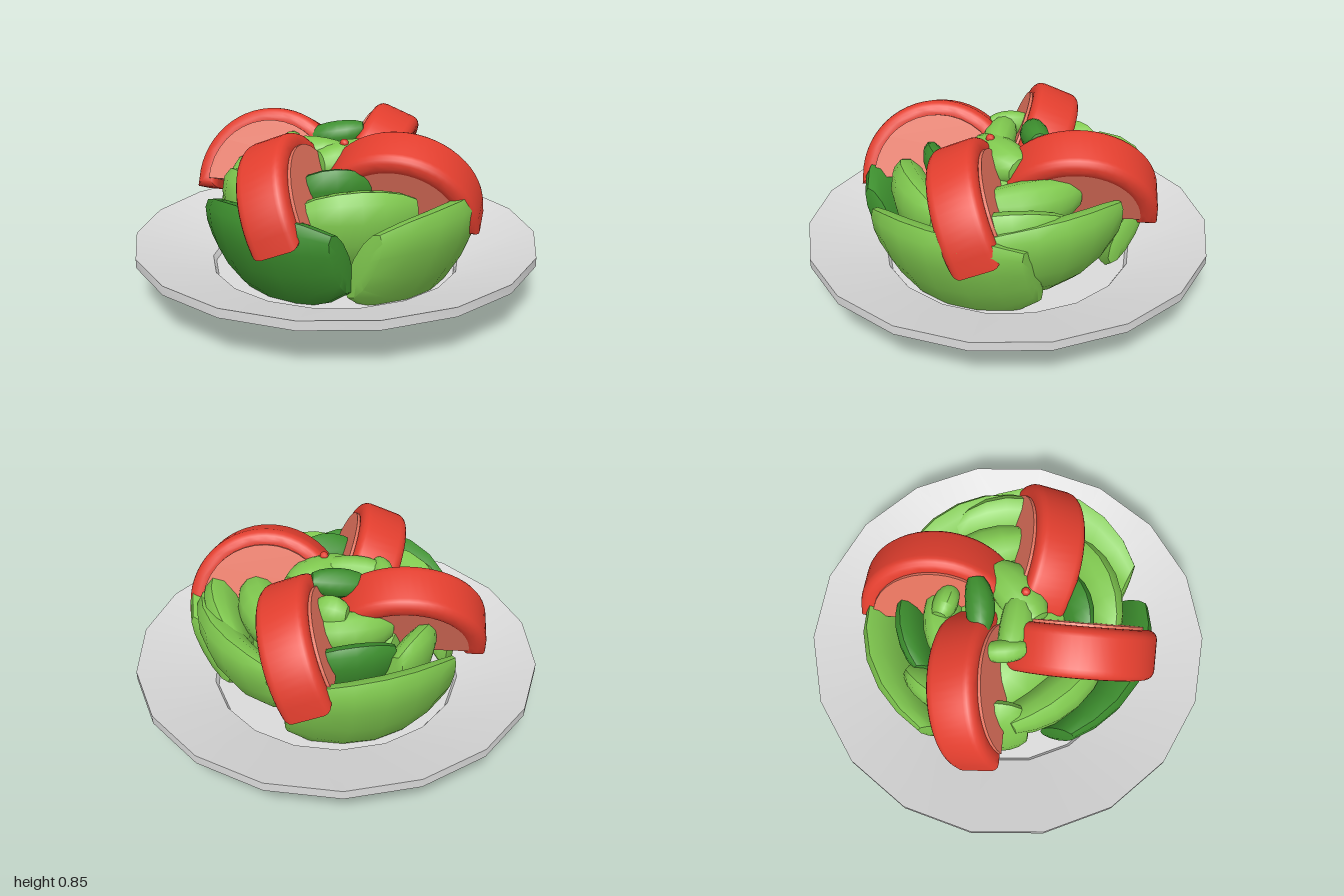
import * as THREE from 'three';
import { toCreasedNormals } from 'three/addons/utils/BufferGeometryUtils.js';

const material = (name, color) => {
  const m = new THREE.MeshStandardMaterial({ color });
  m.name = name;
  return m;
};

export function createModel() {
  const model = new THREE.Group();
  model.name = 'saladPlate';
  const plateGrey = material('plate grey', 0xdadada);
  const lightGreen = material('light lettuce green', 0x80c94f);
  const darkGreen = material('dark lettuce green', 0x3d8f2e);
  const red = material('tomato skin red', 0xe23e2e);
  const pink = material('tomato flesh pink', 0xe4725d);

  const add = (parent, name, geometry, mat) => {
    const mesh = new THREE.Mesh(geometry, mat);
    mesh.name = name;
    parent.add(mesh);
    return mesh;
  };

  // Shallow plate with a sunken floor
  const profile = [[0, 0.05], [0.54, 0.05], [0.72, 0.095], [1, 0.23], [1, 0.275],
    [0.62, 0.15], [0.605, 0.125], [0, 0.125]].map(([r, y]) => new THREE.Vector2(r, y));
  add(model, 'plate', toCreasedNormals(new THREE.LatheGeometry(profile, 18, Math.PI / 18), 0.5), plateGrey);

  // Thick leaf: blunt-ended ellipsoid, bowed so its outer face is convex
  const deg = Math.PI / 180;
  const blunt = 0.83;
  function leaf(name, mat, center, [hl, hh, ht], yaw, lean, roll = 0, bow = 0.6) {
    const g = new THREE.SphereGeometry(1, 12, 10).rotateZ(Math.PI / 2);
    const p = g.attributes.position;
    for (let i = 0; i < p.count; i++) {
      const x = THREE.MathUtils.clamp(p.getX(i), -blunt, blunt) * hl / blunt;
      p.setXYZ(i, x, p.getY(i) * hh, p.getZ(i) * ht - bow * x * x);
    }
    const mesh = add(model, name, toCreasedNormals(g, 0.75), mat);
    mesh.position.set(...center);
    mesh.rotation.set(lean * deg, yaw * deg, roll * deg, 'YXZ');
  }

  // Outer leaves, leaning outward like a bowl
  leaf('outerLeafFront', darkGreen, [0.04, 0.33, 0.55], [0.39, 0.29, 0.1], 0, 24);
  leaf('outerLeafLeft', lightGreen, [0.57, 0.305, 0], [0.41, 0.33, 0.1], 90, 27);
  leaf('outerLeafBackRight', lightGreen, [-0.41, 0.31, -0.38], [0.4, 0.31, 0.09], -133, 24);
  leaf('outerLeafBackLeft', lightGreen, [0.33, 0.39, -0.42], [0.38, 0.25, 0.1], 147, 24);

  // Middle leaves
  leaf('middleLeafFrontRight', lightGreen, [-0.17, 0.44, 0.39], [0.31, 0.22, 0.11], -18, 15);
  leaf('middleLeafFrontLeft', lightGreen, [0.36, 0.45, 0.28], [0.28, 0.22, 0.11], 50, 18);
  leaf('middleLeafRight', lightGreen, [-0.46, 0.44, 0.22], [0.14, 0.22, 0.07], -65, -14);
  leaf('middleLeafLeft', lightGreen, [0.46, 0.45, -0.27], [0.27, 0.22, 0.1], 125, 18);
  leaf('middleLeafBackRight', darkGreen, [-0.28, 0.5, -0.36], [0.2, 0.17, 0.07], -140, 20);
  leaf('middleLeafSide', lightGreen, [-0.47, 0.46, -0.13], [0.16, 0.2, 0.08], -95, 15);
  leaf('innerLeafFront', darkGreen, [0.2, 0.57, 0.25], [0.17, 0.16, 0.07], 48, 20);
  leaf('innerLeafBack', lightGreen, [0.24, 0.55, -0.26], [0.24, 0.14, 0.12], 140, 30);
  leaf('innerLeafBackRight', lightGreen, [-0.2, 0.58, -0.23], [0.2, 0.13, 0.1], -140, 25);

  // Heart of the salad and small top leaves
  leaf('saladHeart', lightGreen, [0, 0.42, 0], [0.38, 0.26, 0.38], 0, 0, 0, 0);
  leaf('topLeafDark', darkGreen, [-0.07, 0.75, -0.11], [0.13, 0.07, 0.07], 40, 30, 10);
  leaf('topLeafLarge', lightGreen, [0.1, 0.67, 0], [0.17, 0.1, 0.12], 65, 15);
  leaf('topLeafFront', lightGreen, [-0.06, 0.7, 0.08], [0.15, 0.08, 0.08], 20, 25);
  leaf('topLeafRight', lightGreen, [-0.2, 0.72, 0.1], [0.1, 0.06, 0.055], -55, 20);
  leaf('topLeafBack', lightGreen, [-0.12, 0.69, -0.27], [0.08, 0.09, 0.06], 10, 15);

  // Small tip of tomato poking through the top
  add(model, 'tomatoTip', new THREE.SphereGeometry(0.022, 8, 6), red).position.set(0.09, 0.765, 0.045);

  // Tomato wedge: rounded half-ring skin around a half disc of flesh
  const bevel = 0.045;
  const arch = new THREE.Shape();
  arch.absarc(0, 0, 0.385 - bevel, 0, Math.PI, false);
  arch.absarc(0, 0, 0.28 + bevel, Math.PI, 0, true);
  const skin = toCreasedNormals(new THREE.ExtrudeGeometry(arch, {
    depth: 0.15, curveSegments: 14, bevelSize: bevel, bevelThickness: bevel, bevelSegments: 4,
  }).translate(0, 0, -0.075), 0.7);
  const disc = new THREE.Shape();
  disc.absarc(0, 0, 0.315, 0, Math.PI, false);
  const flesh = new THREE.ExtrudeGeometry(disc, { depth: 0.245, curveSegments: 9, bevelEnabled: false })
    .translate(0, 0, -0.1325);

  // Four wedges pinwheeled around the middle
  for (let i = 0; i < 4; i++) {
    const spin = new THREE.Group();
    spin.name = 'tomatoSlice' + (i + 1);
    spin.rotation.y = i * Math.PI / 2;
    const wedge = new THREE.Group();
    wedge.name = 'tomatoWedge';
    wedge.position.set(0.06, 0.47, 0.352);
    wedge.rotation.set(22 * deg, -65 * deg, 0, 'YXZ');
    add(wedge, 'tomatoSkin', skin, red);
    add(wedge, 'tomatoFlesh', flesh, pink);
    spin.add(wedge);
    model.add(spin);
  }
  return model;
}
